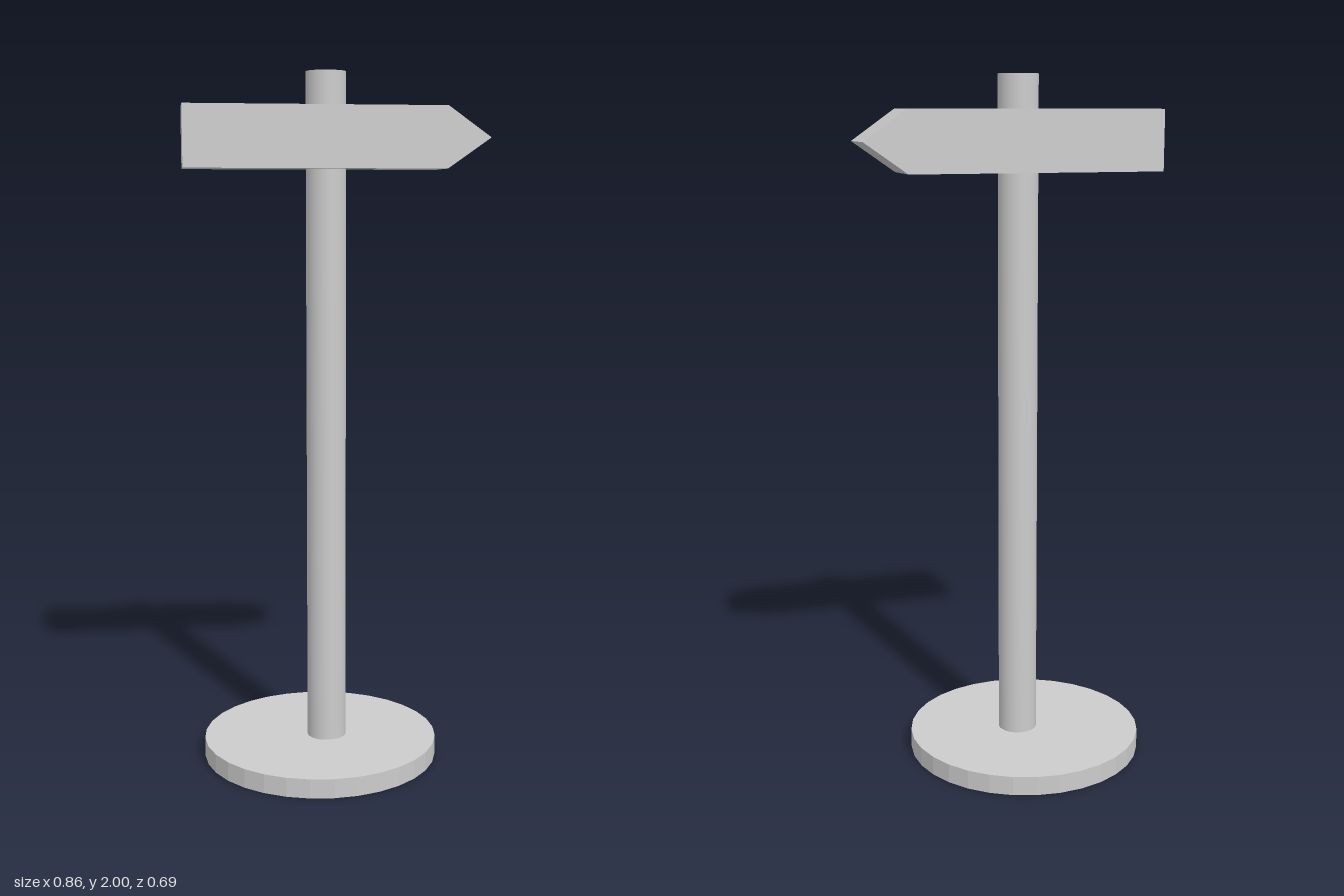
import * as THREE from 'three';

export function createModel() {
  const group = new THREE.Group();
  const smooth = new THREE.MeshStandardMaterial({ color: 0xcccccc });
  const flat = new THREE.MeshStandardMaterial({ color: 0xcccccc, flatShading: true });

  const add = (name, geometry, material, x, y, z) => {
    const mesh = new THREE.Mesh(geometry, material);
    mesh.name = name;
    mesh.position.set(x, y, z);
    group.add(mesh);
  };

  // Faceted round foot
  const baseHeight = 0.056;
  add('base', new THREE.CylinderGeometry(0.346, 0.346, baseHeight, 32), flat, -0.045, baseHeight / 2, 0);

  // Smooth post, standing on the foot and passing through the sign
  const poleBottom = 0.03, poleTop = 2;
  add('pole', new THREE.CylinderGeometry(0.057, 0.057, poleTop - poleBottom, 48), smooth,
    -0.026, (poleTop + poleBottom) / 2, 0.006);

  // Arrow-shaped direction board
  const outline = new THREE.Shape([
    [-0.431, 1.732], [0.308, 1.732], [0.431, 1.818], [0.308, 1.905], [-0.431, 1.905],
  ].map(([x, y]) => new THREE.Vector2(x, y)));
  add('arrowSign', new THREE.ExtrudeGeometry(outline, { depth: 0.173, bevelEnabled: false }), flat, 0, 0, -0.081);

  return group;
}
